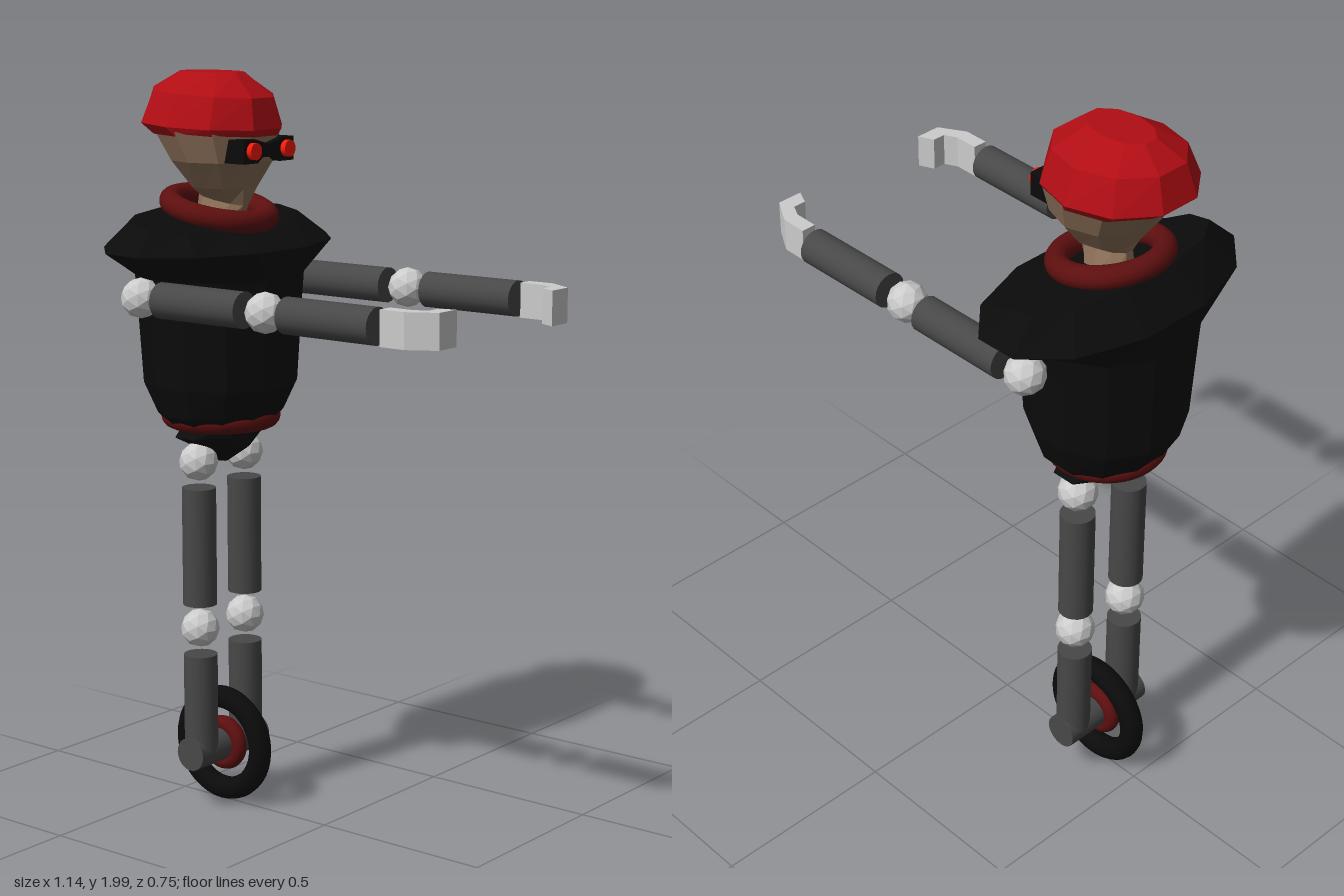
import * as THREE from 'three';

const AXIS = -0.355; // x of the body's vertical axis; the figure faces +x
const mat = (color, flat = false) => new THREE.MeshStandardMaterial({ color, flatShading: flat });
const black = mat(0x0b0b0b, true), tyreBlack = mat(0x0b0b0b), darkRed = mat(0x5e0f0f);
const capRed = mat(0xb00d14, true), lensRed = mat(0xff1a0a), skin = mat(0x8b6f58, true);
const limbGrey = mat(0x484848), jointGrey = mat(0xcccccc, true);

function add(parent, name, geo, material, x = 0, y = 0, z = 0) {
  const mesh = new THREE.Mesh(geo, material);
  mesh.name = name;
  mesh.position.set(x, y, z);
  parent.add(mesh);
  return mesh;
}

// Faceted loft through rings [y, centreX, radiusX, radiusZ, slope], bottom to top
function loft(rings, sides) {
  const pos = [], idx = [];
  for (const [y, cx, rx, rz, slope = 0] of rings) {
    for (let i = 0; i < sides; i++) {
      const a = ((i + 0.5) / sides) * Math.PI * 2;
      const dx = Math.cos(a) * rx;
      pos.push(cx + dx, y + slope * dx, Math.sin(a) * rz);
    }
  }
  for (let r = 0; r < rings.length - 1; r++) {
    for (let i = 0; i < sides; i++) {
      const a = r * sides + i, b = r * sides + (i + 1) % sides;
      idx.push(a, a + sides, b, b, a + sides, b + sides);
    }
  }
  const top = (rings.length - 1) * sides;
  for (let i = 1; i < sides - 1; i++) {
    idx.push(0, i, i + 1, top, top + i + 1, top + i);
  }
  const geo = new THREE.BufferGeometry();
  geo.setAttribute('position', new THREE.Float32BufferAttribute(pos, 3));
  geo.setIndex(idx);
  geo.computeVertexNormals();
  return geo;
}

// Cylinder between two points
function rod(parent, name, from, to, radius, material = limbGrey) {
  const a = new THREE.Vector3(...from), b = new THREE.Vector3(...to);
  const dir = b.clone().sub(a);
  const mesh = add(parent, name, new THREE.CylinderGeometry(radius, radius, dir.length(), 20), material);
  mesh.position.copy(a).add(b).multiplyScalar(0.5);
  mesh.quaternion.setFromUnitVectors(new THREE.Vector3(0, 1, 0), dir.normalize());
  return mesh;
}

const joint = (parent, name, x, y, z) =>
  add(parent, name, new THREE.IcosahedronGeometry(0.053, 1), jointGrey, x, y, z);

function shapeOf(points) {
  return new THREE.Shape(points.map(([x, y]) => new THREE.Vector2(x, y)));
}

function buildWheel(root) {
  const wheel = new THREE.Group();
  wheel.name = 'wheel';
  wheel.position.set(AXIS, 0.165, 0);
  root.add(wheel);
  add(wheel, 'tyre', new THREE.TorusGeometry(0.13, 0.031, 14, 40), tyreBlack);
  add(wheel, 'hubRing', new THREE.TorusGeometry(0.054, 0.022, 12, 32), darkRed);
  rod(wheel, 'axle', [0, 0, -0.14], [0, 0, 0.14], 0.046);
}

function buildLeg(root, side) {
  const leg = new THREE.Group(), z = side * 0.093;
  leg.name = side > 0 ? 'outerLegPlusZ' : 'outerLegMinusZ';
  root.add(leg);
  rod(leg, 'shin', [AXIS, 0.165, z], [AXIS, 0.44, z], 0.046);
  joint(leg, 'knee', AXIS, 0.513, z);
  rod(leg, 'thigh', [AXIS, 0.58, z], [AXIS, 0.902, z], 0.046);
  joint(leg, 'hip', AXIS, 0.973, z);
}

function buildArm(root, side) {
  const arm = new THREE.Group(), y = 1.435;
  const z = side > 0 ? 0.303 : -0.285;
  arm.name = side > 0 ? 'armPlusZ' : 'armMinusZ';
  root.add(arm);
  const bend = side > 0 ? 0 : -0.005; // one arm splays out very slightly
  joint(arm, 'shoulder', -0.36, y, z);
  rod(arm, 'upperArm', [-0.29, y, z], [-0.012, y, z + bend / 2], 0.047);
  joint(arm, 'elbow', 0.055, y, z);
  rod(arm, 'forearm', [0.122, y, z], [0.402, y, z + bend], 0.047);

  // Hooked hand: bent profile extruded vertically
  const profile = [[0.423, -0.02], [0.423, 0.02], [0.495, 0.02], [0.567, -0.022],
    [0.567, -0.092], [0.525, -0.073], [0.525, -0.037], [0.49, -0.02]];
  const geo = new THREE.ExtrudeGeometry(
    shapeOf(profile.map(([x, out]) => [x, -side * out])), { depth: 0.09, bevelEnabled: false });
  geo.rotateX(-Math.PI / 2);
  add(arm, 'hand', geo, jointGrey, 0, y - 0.045, z + bend);
}

function buildBody(root) {
  add(root, 'pelvis', loft([
    [0.962, AXIS, 0.02, 0.012],
    [1.005, AXIS, 0.08, 0.075],
    [1.042, AXIS, 0.088, 0.16],
    [1.08, AXIS, 0.1, 0.11],
  ], 8), black);

  add(root, 'torso', loft([
    [1.07, AXIS, 0.14, 0.15],
    [1.1, AXIS, 0.16, 0.18],
    [1.18, AXIS, 0.206, 0.205],
    [1.40, AXIS, 0.217, 0.222],
    [1.47, AXIS, 0.218, 0.232],
    [1.55, AXIS, 0.224, 0.39, -0.02],
    [1.618, AXIS - 0.01, 0.125, 0.31, -0.2],
    [1.625, AXIS - 0.01, 0.08, 0.1, -0.2],
  ], 12), black);

  // Rings around waist and neck
  const ring = new THREE.TorusGeometry(0.13, 0.03, 14, 40).rotateX(Math.PI / 2);
  add(root, 'waistRing', ring, darkRed, AXIS, 1.087, 0);
  add(root, 'neckRing', ring, darkRed, AXIS, 1.642, 0).rotation.z = -0.22;
}

function buildHead(root) {
  const head = new THREE.Group();
  head.name = 'head';
  root.add(head);

  add(head, 'face', loft([
    [1.6, -0.355, 0.07, 0.06],
    [1.665, -0.34, 0.08, 0.035, -0.15],
    [1.7, -0.335, 0.092, 0.085],
    [1.77, -0.34, 0.137, 0.14],
    [1.85, -0.358, 0.17, 0.17],
  ], 10), skin);

  add(head, 'cap', loft([
    [1.838, -0.362, 0.172, 0.165, -0.01],
    [1.862, -0.378, 0.2, 0.181, -0.04],
    [1.945, -0.372, 0.178, 0.146, -0.06],
    [1.998, -0.375, 0.1, 0.062],
  ], 10), capRed);

  // Goggles: pinched band with two glowing lenses
  const band = [[-0.1, -0.032], [-0.045, -0.032], [-0.025, -0.018], [0.025, -0.018],
    [0.045, -0.032], [0.1, -0.032], [0.1, 0.03], [0.055, 0.03], [0, 0.015], [-0.055, 0.03], [-0.1, 0.03]];
  const geo = new THREE.ExtrudeGeometry(shapeOf(band), { depth: 0.1, bevelEnabled: false });
  geo.rotateY(Math.PI / 2);
  add(head, 'goggles', geo, black, -0.283, 1.803, 0);
  for (const side of [1, -1]) {
    rod(head, 'lens', [-0.19, 1.803, side * 0.068], [-0.168, 1.803, side * 0.068], 0.022, lensRed);
  }
}

export function createModel() {
  const root = new THREE.Group();
  root.name = 'wheeledRobot';
  buildWheel(root);
  buildBody(root);
  buildHead(root);
  for (const side of [1, -1]) {
    buildLeg(root, side);
    buildArm(root, side);
  }
  return root;
}
